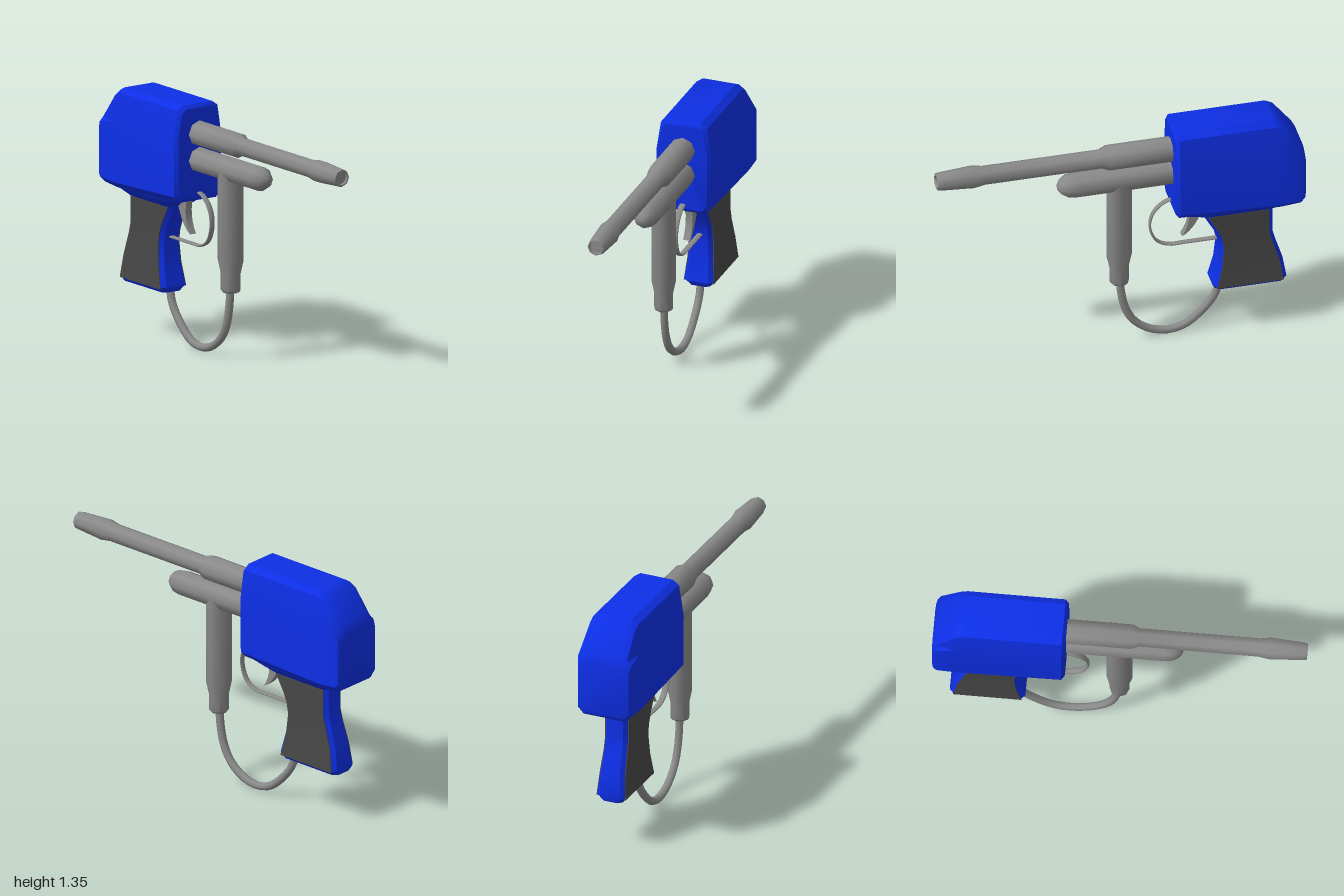
import * as THREE from 'three';
import { toCreasedNormals } from 'three/addons/utils/BufferGeometryUtils.js';

const blue = new THREE.MeshStandardMaterial({ color: 0x0d2fe6 });
const metal = new THREE.MeshStandardMaterial({ color: 0x8a8a8a });
const dark = new THREE.MeshStandardMaterial({ color: 0x474747 });

// Closed skin through equal-length rings of [x, y, z], capped at both ends
function loft(rings, crease = 0.6) {
  const pos = [];
  const n = rings[0].length;
  const centre = (r) => [0, 1, 2].map((k) => r.reduce((s, p) => s + p[k], 0) / n);
  const first = rings[0], last = rings[rings.length - 1];
  const c0 = centre(first), c1 = centre(last);
  for (let j = 0; j < n; j++) {
    const k = (j + 1) % n;
    for (let i = 0; i < rings.length - 1; i++) {
      const a = rings[i][j], b = rings[i][k], c = rings[i + 1][k], d = rings[i + 1][j];
      pos.push(...a, ...b, ...c, ...a, ...c, ...d);
    }
    pos.push(...c0, ...first[k], ...first[j], ...c1, ...last[j], ...last[k]);
  }
  const g = new THREE.BufferGeometry();
  g.setAttribute('position', new THREE.Float32BufferAttribute(pos, 3));
  return toCreasedNormals(g, crease);
}

// Eight-sided turned part; profile points are [radius, height]
function turned(profile) {
  const g = new THREE.LatheGeometry(profile.map(([r, h]) => new THREE.Vector2(r, h)), 8);
  return toCreasedNormals(g, 0.9);
}

// Tube through [z, y] points in the middle plane
function tube(points, radius, segments, sides) {
  const curve = new THREE.CatmullRomCurve3(points.map(([z, y]) => new THREE.Vector3(0, y, z)));
  return new THREE.TubeGeometry(curve, segments, radius, sides);
}

export function createModel() {
  const model = new THREE.Group();
  const add = (name, geometry, material) => {
    const mesh = new THREE.Mesh(geometry, material);
    mesh.name = name;
    model.add(mesh);
    return mesh;
  };

  // Housing: rings from front to back as [z, top, bottom, half width]
  const housing = [
    [-0.288, 1.335, 0.845, 0.14],
    [-0.305, 1.355, 0.825, 0.156],
    [-0.83, 1.355, 0.805, 0.156],
    [-0.87, 1.335, 0.805, 0.156],
    [-0.975, 1.2, 0.815, 0.156],
    [-0.993, 1.165, 0.83, 0.148],
    [-1.0, 1.14, 0.85, 0.13],
  ].map(([z, top, bottom, w]) => {
    const side = Math.min(1.17, top - 0.05);
    const half = [
      [w * 0.61, top], [w * 0.84, top - 0.025], [w, side],
      [w, bottom + 0.035], [w * 0.78, bottom],
    ];
    const mirrored = half.map(([x, y]) => [-x, y]).reverse();
    return [...half, ...mirrored].map(([x, y]) => [x, y, z]);
  });
  add('housing', loft(housing), blue);

  // Grip: rings from bottom to top as [y, front z, back z, half width]
  const gripLevels = [
    [0.28, -0.522, -0.9, 0.062],
    [0.31, -0.505, -0.91, 0.083],
    [0.43, -0.535, -0.89, 0.073],
    [0.55, -0.546, -0.852, 0.067],
    [0.61, -0.535, -0.836, 0.067],
    [0.66, -0.515, -0.836, 0.067],
    [0.76, -0.458, -0.836, 0.067],
    [0.8, -0.41, -0.875, 0.11],
    [0.83, -0.32, -0.97, 0.125],
  ];
  const gripRing = ([y, f, b, w], c) => [
    [w, y, f - c], [w, y, b + c], [w - c, y, b], [c - w, y, b],
    [-w, y, b + c], [-w, y, f - c], [c - w, y, f], [w - c, y, f],
  ];
  add('grip', loft(gripLevels.map((l) => gripRing(l, 0.022))), blue);

  // Dark side panels, standing just proud of the grip
  const panelRings = gripLevels.slice(1, 7).map(([y, f, b, w], i) => {
    const level = i === 0 ? 0.302 : y;
    const x = w + 0.003;
    return [[x, level, f - 0.02], [x, level, b + 0.02], [-x, level, b + 0.02], [-x, level, f - 0.02]];
  });
  add('gripPanels', loft(panelRings), dark);

  // Barrel with rear collar and muzzle
  const barrel = add('barrel', turned([
    [0, -0.35], [0.07, -0.35], [0.07, 0.06], [0.052, 0.1], [0.052, 0.74],
    [0.062, 0.8], [0.05, 0.985], [0.046, 1.0], [0.038, 1.0], [0.036, 0.985], [0, 0.985],
  ]), metal);
  barrel.rotation.x = Math.PI / 2;
  barrel.position.y = 1.195;

  // Round-nosed tube under the barrel
  const lowerTube = add('lowerTube', turned([
    [0, -0.35], [0.07, -0.35], [0.07, 0.24], [0.063, 0.285], [0.042, 0.318], [0.018, 0.334], [0, 0.336],
  ]), metal);
  lowerTube.rotation.x = Math.PI / 2;
  lowerTube.position.y = 1.05;

  // Vertical fore grip
  const foreGrip = add('foreGrip', turned([
    [0, 0.378], [0.046, 0.378], [0.054, 0.39], [0.054, 0.48], [0.07, 0.555], [0.07, 1.045], [0, 1.045],
  ]), metal);
  foreGrip.position.z = -0.006;

  // Hose from fore grip to main grip
  add('hose', tube([
    [-0.01, 0.41], [-0.015, 0.32], [-0.04, 0.2], [-0.09, 0.11], [-0.18, 0.045], [-0.28, 0.024],
    [-0.37, 0.047], [-0.46, 0.12], [-0.53, 0.21], [-0.56, 0.31],
  ], 0.022, 24, 8), metal);

  // Trigger guard: a thin band, wider than it is thick
  const guard = add('triggerGuard', tube([
    [-0.32, 0.873], [-0.26, 0.86], [-0.205, 0.815], [-0.176, 0.75], [-0.18, 0.675],
    [-0.215, 0.61], [-0.28, 0.579], [-0.36, 0.578], [-0.56, 0.578],
  ], 0.007, 32, 8), metal);
  guard.scale.x = 2.5;

  // Hooked trigger
  const outline = new THREE.Shape();
  outline.moveTo(0.37, 0.83);
  outline.quadraticCurveTo(0.41, 0.72, 0.345, 0.63);
  outline.quadraticCurveTo(0.41, 0.66, 0.45, 0.765);
  outline.lineTo(0.47, 0.83);
  const triggerGeometry = new THREE.ExtrudeGeometry(outline, { depth: 0.04, bevelEnabled: false, curveSegments: 6 });
  triggerGeometry.translate(0, 0, -0.02);
  triggerGeometry.rotateY(Math.PI / 2);
  add('trigger', toCreasedNormals(triggerGeometry, 0.6), metal);

  return model;
}
